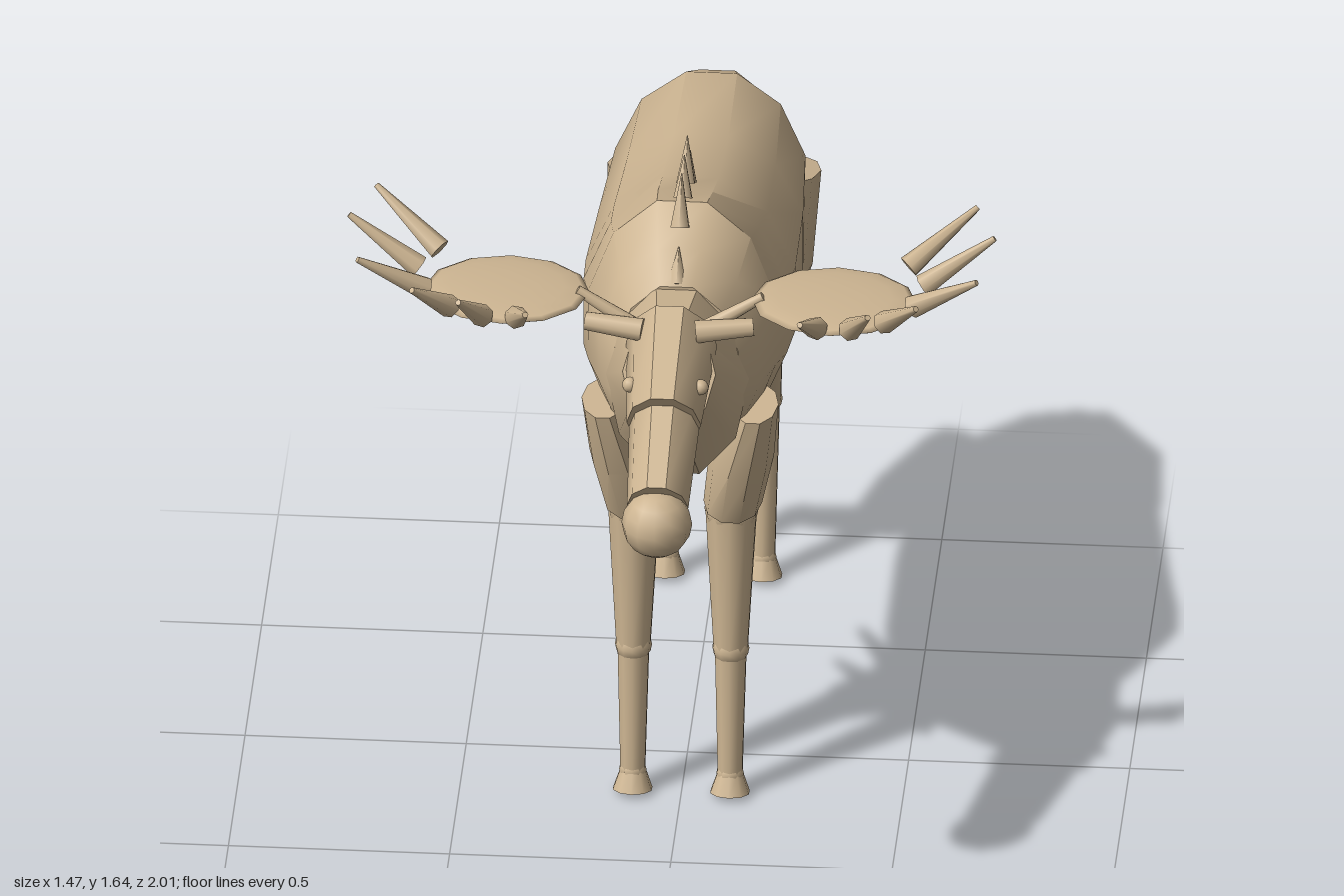
import * as THREE from 'three';
import { toCreasedNormals } from 'three/addons/utils/BufferGeometryUtils.js';

const hide = new THREE.MeshStandardMaterial({ color: 0xcdb592 });
hide.name = 'tan hide';

const V = (x, y, z) => new THREE.Vector3(x, y, z);

function add(parent, name, geometry) {
  const mesh = new THREE.Mesh(geometry, hide);
  mesh.name = name;
  parent.add(mesh);
  return mesh;
}

// Closed skin over elliptical rings [z1, y1, z2, y2, halfWidth, centreX]:
// each ring spans two points of the side profile.
function loft(rings, n = 12, crease = 0.65) {
  const pos = [], index = [], k = 1 / Math.cos(Math.PI / n);
  for (const [z1, y1, z2, y2, w, cx = 0] of rings) {
    for (let j = 0; j < n; j++) {
      const a = ((j + 0.5) / n) * Math.PI * 2;
      const c = Math.cos(a) * k / 2, s = Math.sin(a) * k;
      pos.push(cx + w * s, (y1 + y2) / 2 + (y1 - y2) * c, (z1 + z2) / 2 + (z1 - z2) * c);
    }
  }
  const last = (rings.length - 1) * n;
  for (let i = 0; i < last; i += n) {
    for (let j = 0; j < n; j++) {
      const q = (j + 1) % n;
      index.push(i + j, i + n + j, i + q, i + q, i + n + j, i + n + q);
    }
  }
  for (let j = 1; j < n - 1; j++) {
    index.push(0, j, j + 1, last, last + j + 1, last + j);
  }
  const g = new THREE.BufferGeometry();
  g.setAttribute('position', new THREE.Float32BufferAttribute(pos, 3));
  g.setIndex(index);
  return toCreasedNormals(g, crease);
}

// Tapered rod between two points
function rod(parent, name, a, b, ra, rb, n = 10) {
  const mesh = add(parent, name, new THREE.CylinderGeometry(rb, ra, a.distanceTo(b), n));
  mesh.position.copy(a).lerp(b, 0.5);
  mesh.quaternion.setFromUnitVectors(V(0, 1, 0), b.clone().sub(a).normalize());
  return mesh;
}

function ball(parent, name, p, r) {
  const mesh = add(parent, name, new THREE.SphereGeometry(r, 12, 8));
  mesh.position.copy(p);
  return mesh;
}

// Muscled upper part, two tapered bones with round joints, and a hoof
function leg(parent, name, s, upper, joints) {
  const g = new THREE.Group();
  g.name = name;
  parent.add(g);
  const rings = upper.map(([z1, y1, z2, y2, w, x]) => [z1, y1, z2, y2, w, s * x]);
  add(g, 'upperLeg', loft(rings, 10, 0.75));
  const [hip, knee, ankle] = joints.map(([y, z]) => V(s * 0.11, y, z));
  ball(g, 'upperJoint', hip, 0.061);
  rod(g, 'shin', hip, knee, 0.06, 0.04);
  ball(g, 'knee', knee, 0.042);
  rod(g, 'cannon', knee, ankle, 0.037, 0.029);
  ball(g, 'ankle', ankle, 0.031);
  const toe = V(ankle.x, 0.005, ankle.z + 0.008);
  rod(g, 'hoof', toe, ankle, 0.046, 0.03);
}

export function createModel() {
  const moose = new THREE.Group();
  moose.name = 'moose';

  // Trunk, from rump to chest
  add(moose, 'body', loft([
    [-0.963, 1.13, -0.94, 0.95, 0.06],
    [-0.915, 1.245, -0.80, 0.87, 0.15],
    [-0.73, 1.345, -0.62, 0.845, 0.215],
    [-0.42, 1.36, -0.42, 0.83, 0.23],
    [-0.10, 1.435, -0.08, 0.83, 0.237],
    [0.06, 1.49, 0.06, 0.845, 0.23],
    [0.16, 1.52, 0.18, 0.875, 0.212],
    [0.26, 1.45, 0.27, 0.91, 0.18],
    [0.33, 1.395, 0.33, 0.95, 0.14],
  ]));

  // Neck and head
  add(moose, 'neck', loft([
    [0.27, 1.38, 0.31, 0.90, 0.155],
    [0.50, 1.41, 0.61, 1.19, 0.10],
  ], 10));
  add(moose, 'skull', loft([
    [0.53, 1.46, 0.42, 1.20, 0.098],
    [0.76, 1.35, 0.66, 1.165, 0.08],
  ], 10));
  add(moose, 'muzzle', loft([
    [0.738, 1.33, 0.64, 1.165, 0.076],
    [0.936, 1.22, 0.85, 1.075, 0.066],
  ], 10));
  ball(moose, 'nose', V(0, 1.12, 0.92), 0.08);
  rod(moose, 'beard', V(0, 1.19, 0.635), V(0, 1.06, 0.57), 0.04, 0.004, 8);

  // Tail
  rod(moose, 'tail', V(0, 1.115, -0.965), V(0, 1.025, -0.985), 0.012, 0.022, 8);

  // Crest of spikes along the shoulders: base z, y then tip z, y
  for (const [z1, y1, z2, y2] of [
    [0.31, 1.39, 0.26, 1.46], [0.225, 1.49, 0.17, 1.60], [0.135, 1.515, 0.088, 1.60],
    [0.05, 1.505, 0, 1.60], [-0.04, 1.435, -0.09, 1.51],
  ]) {
    rod(moose, 'crestSpike', V(0, y1, z1), V(0, y2, z2), 0.024, 0.001, 6);
  }

  // Antler tines: base then tip
  const tines = [
    [0.53, 1.51, 0.40, 0.68, 1.62, 0.31], [0.57, 1.515, 0.49, 0.73, 1.63, 0.465],
    [0.55, 1.50, 0.56, 0.70, 1.60, 0.615], [0.49, 1.49, 0.62, 0.57, 1.58, 0.71],
    [0.415, 1.48, 0.64, 0.463, 1.57, 0.74], [0.34, 1.48, 0.64, 0.31, 1.55, 0.75],
  ];

  for (const s of [1, -1]) {
    const side = s > 0 ? 'left' : 'right';
    ball(moose, side + 'Eye', V(s * 0.08, 1.33, 0.665), 0.018);
    rod(moose, side + 'Ear', V(s * 0.06, 1.41, 0.555), V(s * 0.19, 1.42, 0.54), 0.028, 0.022, 8);

    const antler = new THREE.Group();
    antler.name = side + 'Antler';
    moose.add(antler);
    rod(antler, 'beam', V(s * 0.07, 1.40, 0.53), V(s * 0.21, 1.485, 0.515), 0.02, 0.012, 8);
    const palm = ball(antler, 'palm', V(s * 0.37, 1.473, 0.505), 1);
    palm.scale.set(0.187, 0.018, 0.155);
    for (const [x1, y1, z1, x2, y2, z2] of tines) {
      rod(antler, 'tine', V(s * x1, y1, z1), V(s * x2, y2, z2), 0.027, 0.007, 7);
    }

    // Legs
    leg(moose, side + 'FrontLeg', s, [
      [0.30, 1.03, 0.145, 1.045, 0.05, 0.17],
      [0.275, 0.87, 0.065, 0.88, 0.07, 0.135],
      [0.215, 0.72, 0.06, 0.745, 0.063, 0.113],
    ], [[0.715, 0.14], [0.365, 0.158], [0.05, 0.178]]);
    leg(moose, side + 'HindLeg', s, [
      [-0.685, 1.09, -0.936, 1.02, 0.075, 0.163],
      [-0.585, 0.875, -0.84, 0.86, 0.085, 0.14],
      [-0.578, 0.765, -0.754, 0.72, 0.066, 0.113],
    ], [[0.735, -0.66], [0.44, -0.843], [0.05, -0.803]]);
  }

  return moose;
}
